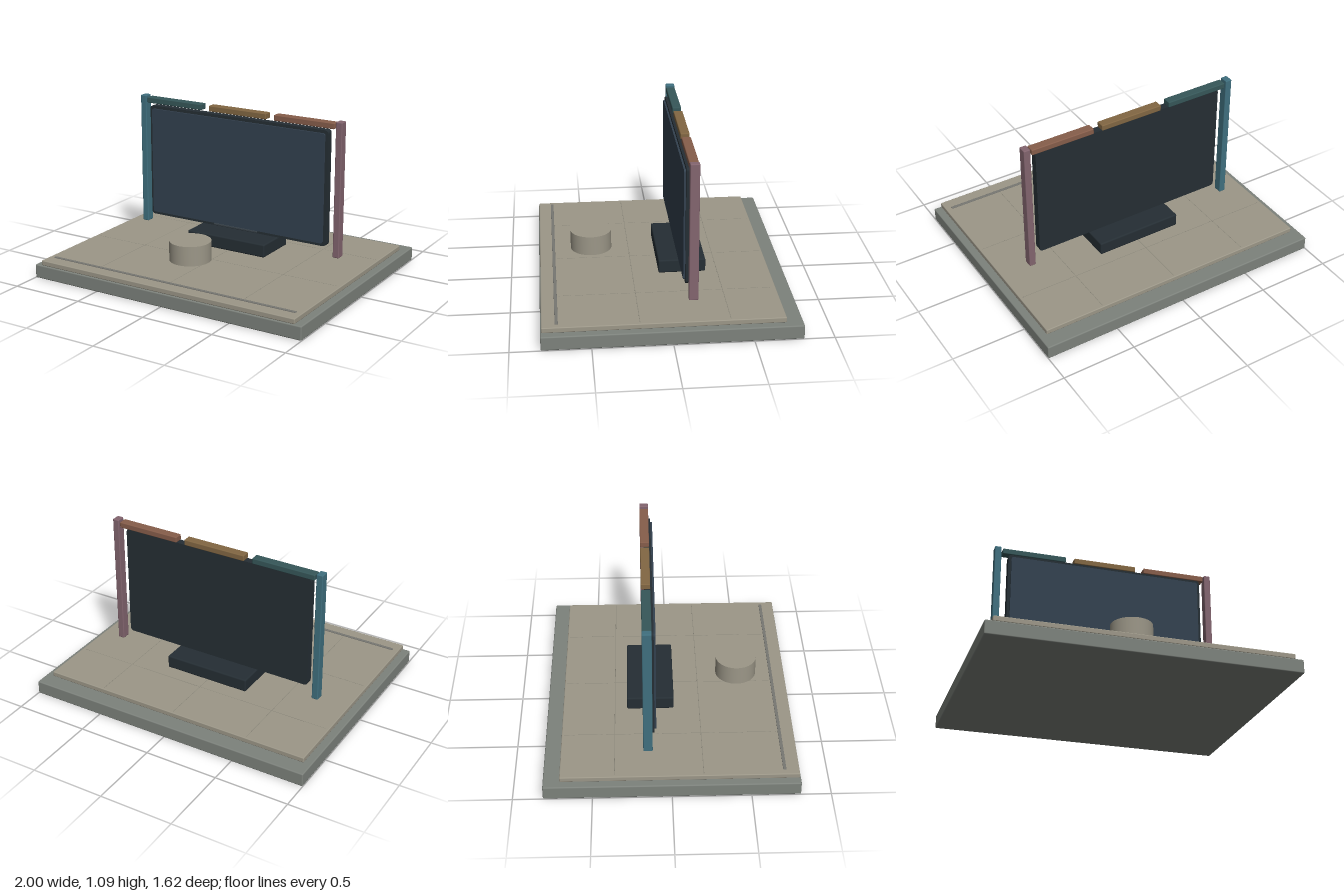
import * as THREE from 'three';
import { RoundedBoxGeometry } from 'three/addons/geometries/RoundedBoxGeometry.js';

const material = (color) => new THREE.MeshStandardMaterial({ color });

export function createModel() {
  const group = new THREE.Group();

  // Softly bevelled block given by its extents on each axis
  function block(name, [x0, x1], [y0, y1], [z0, z1], color, radius = 0.006) {
    const geometry = new RoundedBoxGeometry(x1 - x0, y1 - y0, z1 - z0, 2, radius);
    const mesh = new THREE.Mesh(geometry, material(color));
    mesh.name = name;
    mesh.position.set((x0 + x1) / 2, (y0 + y1) / 2, (z0 + z1) / 2);
    group.add(mesh);
    return mesh;
  }

  // Upright panel with rounded corners, its front at zFront
  function panel(name, halfWidth, y0, y1, zBack, zFront, r, color) {
    const w = halfWidth;
    const s = new THREE.Shape();
    s.moveTo(-w + r, y0);
    s.lineTo(w - r, y0);
    s.quadraticCurveTo(w, y0, w, y0 + r);
    s.lineTo(w, y1 - r);
    s.quadraticCurveTo(w, y1, w - r, y1);
    s.lineTo(-w + r, y1);
    s.quadraticCurveTo(-w, y1, -w, y1 - r);
    s.lineTo(-w, y0 + r);
    s.quadraticCurveTo(-w, y0, -w + r, y0);
    const geometry = new THREE.ExtrudeGeometry(s, { depth: zFront - zBack, bevelEnabled: false, curveSegments: 6 });
    const mesh = new THREE.Mesh(geometry, material(color));
    mesh.name = name;
    mesh.position.z = zBack;
    group.add(mesh);
  }

  // Desk slab and the mat on it
  block('deskSlab', [-1, 1], [0, 0.092], [-0.81, 0.81], 0x7d827c, 0.008);
  block('deskMat', [-0.95, 0.95], [0.092, 0.127], [-0.705, 0.803], 0x9c9788);
  block('matFrontStrip', [-0.91, 0.91], [0.12, 0.132], [0.7, 0.72], 0x777772, 0.002);

  // Fine seams across the mat
  for (const x of [-0.54, 0, 0.54]) {
    block('matSeam', [x - 0.002, x + 0.002], [0.124, 0.1275], [-0.69, 0.69], 0x8c887b, 0.0005);
  }
  for (const z of [-0.36, 0.2]) {
    block('matSeam', [-0.93, 0.93], [0.124, 0.1275], [z - 0.002, z + 0.002], 0x8c887b, 0.0005);
  }

  // Display with its stand
  block('displayStand', [-0.3, 0.3], [0.14, 0.23], [-0.28, 0.03], 0x252e34, 0.01);
  panel('displayFrame', 0.685, 0.25, 1.03, -0.153, -0.104, 0.025, 0x252e34);
  panel('displayScreen', 0.665, 0.27, 1.01, -0.104, -0.092, 0.015, 0x33414f);
  block('displayChin', [-0.17, 0.17], [0.255, 0.268], [-0.11, -0.094], 0x3a444b, 0.003);

  // Side posts
  const depth = [-0.177, -0.117];
  block('rightPost', [-0.775, -0.73], [0.18, 1.09], depth, 0x40707f);
  block('leftPost', [0.73, 0.775], [0.18, 1.09], depth, 0x83656f);

  // Row of bars above the display
  [0x365759, 0x826743, 0x875e4b].forEach((color, i) => {
    const x = (i - 1) * 0.5;
    block('topBar', [x - 0.22, x + 0.22], [1.04, 1.08], depth, color);
  });

  // Round knob in front of the display
  const knob = new THREE.Mesh(new THREE.CylinderGeometry(0.136, 0.136, 0.13, 48), material(0x9c9788));
  knob.name = 'knob';
  knob.position.set(0, 0.275, 0.458);
  group.add(knob);

  return group;
}
